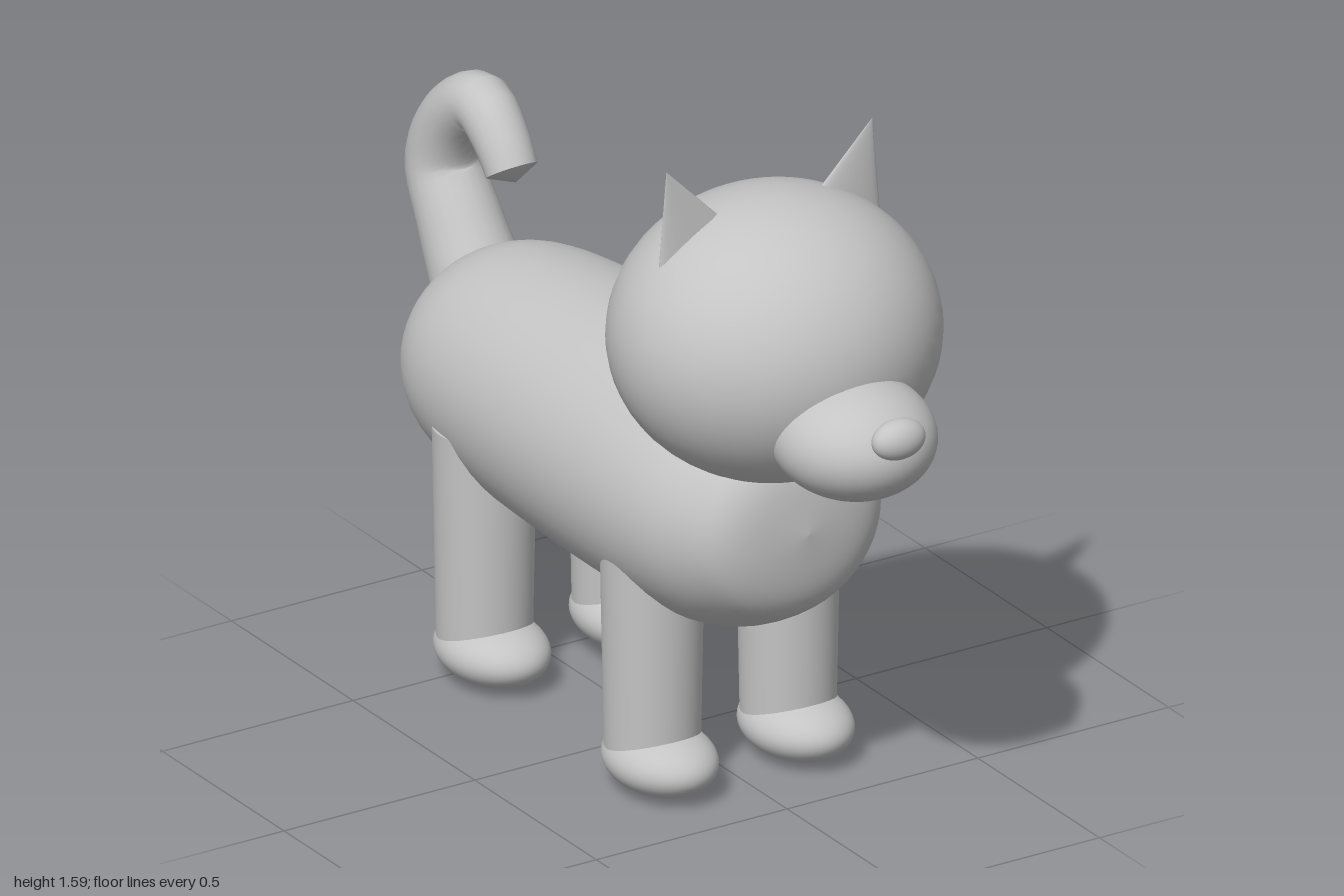
import * as THREE from 'three';
import { toCreasedNormals } from 'three/addons/utils/BufferGeometryUtils.js';

const coat = new THREE.MeshStandardMaterial({ color: 0xc4c4c4 });
coat.name = 'plain grey';

function add(parent, name, geometry, x = 0, y = 0, z = 0) {
  const mesh = new THREE.Mesh(geometry, coat);
  mesh.name = name;
  mesh.position.set(x, y, z);
  parent.add(mesh);
  return mesh;
}

const ellipsoid = (rx, ry, rz) => new THREE.SphereGeometry(1, 48, 32).scale(rx, ry, rz);

// Barrel body: a profile turned around the z axis, slightly wide and rising to the front
function bodyGeometry() {
  const profile = [
    [0, -0.822], [0.06, -0.818], [0.13, -0.803], [0.19, -0.765], [0.235, -0.7],
    [0.267, -0.6], [0.288, -0.42], [0.302, -0.15], [0.308, 0.1], [0.304, 0.27],
    [0.283, 0.4], [0.235, 0.5], [0.19, 0.55], [0.12, 0.576], [0, 0.59],
  ].map(([r, z]) => new THREE.Vector2(r, z));
  const points = new THREE.SplineCurve(profile).getPoints(56);
  points.forEach((p) => { p.x = Math.max(p.x, 0); });
  return new THREE.LatheGeometry(points, 48)
    .rotateX(Math.PI / 2)
    .scale(1.05, 1, 1)
    .applyMatrix4(new THREE.Matrix4().makeShear(0, 0, 0, 0, 0, 0.02));
}

// Curled tail: a tube whose rings shrink towards the tip and close at both ends
function tailGeometry() {
  const path = new THREE.CatmullRomCurve3([
    [0.765, -0.748], [0.92, -0.848], [1.04, -0.912], [1.165, -0.86],
    [1.233, -0.755], [1.185, -0.682], [1.095, -0.615],
  ].map(([y, z]) => new THREE.Vector3(0, y, z)));
  const rings = 28, sides = 24;
  const geometry = new THREE.TubeGeometry(path, rings, 1, sides);
  const position = geometry.attributes.position;
  const v = new THREE.Vector3();
  for (let i = 0; i <= rings; i++) {
    const t = i / rings;
    const centre = path.getPointAt(t);
    const closed = i === 0 || i === rings;
    const radius = closed ? 0 : THREE.MathUtils.lerp(0.112, 0.058, Math.pow(t, 0.85));
    for (let j = 0; j <= sides; j++) {
      const k = i * (sides + 1) + j;
      v.fromBufferAttribute(position, k).sub(centre).multiplyScalar(radius).add(centre);
      position.setXYZ(k, v.x, v.y, v.z);
    }
  }
  return toCreasedNormals(geometry, Math.PI / 4);
}

export function createModel() {
  const model = new THREE.Group();
  model.name = 'animal';

  add(model, 'body', bodyGeometry(), 0, 0.692, 0);
  add(model, 'tail', tailGeometry());

  // Head, muzzle and nose
  const head = new THREE.Group();
  head.name = 'headGroup';
  model.add(head);
  add(head, 'head', ellipsoid(0.38, 0.333, 0.36), 0, 1.148, 0.448);
  add(head, 'muzzle', ellipsoid(0.184, 0.137, 0.2), 0, 1.018, 0.77);
  add(head, 'nose', ellipsoid(0.066, 0.047, 0.042), 0, 1.08, 0.958);

  // Thin pointed ears leaning outwards; the cone tip is the origin
  const earShape = new THREE.ConeGeometry(0.12, 0.26, 32).translate(0, -0.13, 0).scale(1, 1, 0.19);
  // Legs and paws
  const legShape = new THREE.CylinderGeometry(0.117, 0.107, 0.55, 40).translate(0, 0.335, 0);
  const pawShape = ellipsoid(0.12, 0.077, 0.155);

  for (const [side, sign] of [['left', 1], ['right', -1]]) {
    const ear = add(head, side + 'Ear', earShape, sign * 0.27, 1.59, 0.427);
    ear.rotation.z = -sign * 0.35;

    for (const [end, z] of [['Front', 0.225], ['Hind', -0.465]]) {
      const leg = new THREE.Group();
      leg.name = side + end + 'Leg';
      leg.position.set(sign * 0.178, 0, z);
      add(leg, 'leg', legShape);
      add(leg, 'paw', pawShape, 0, 0.08, 0.032);
      model.add(leg);
    }
  }
  return model;
}
